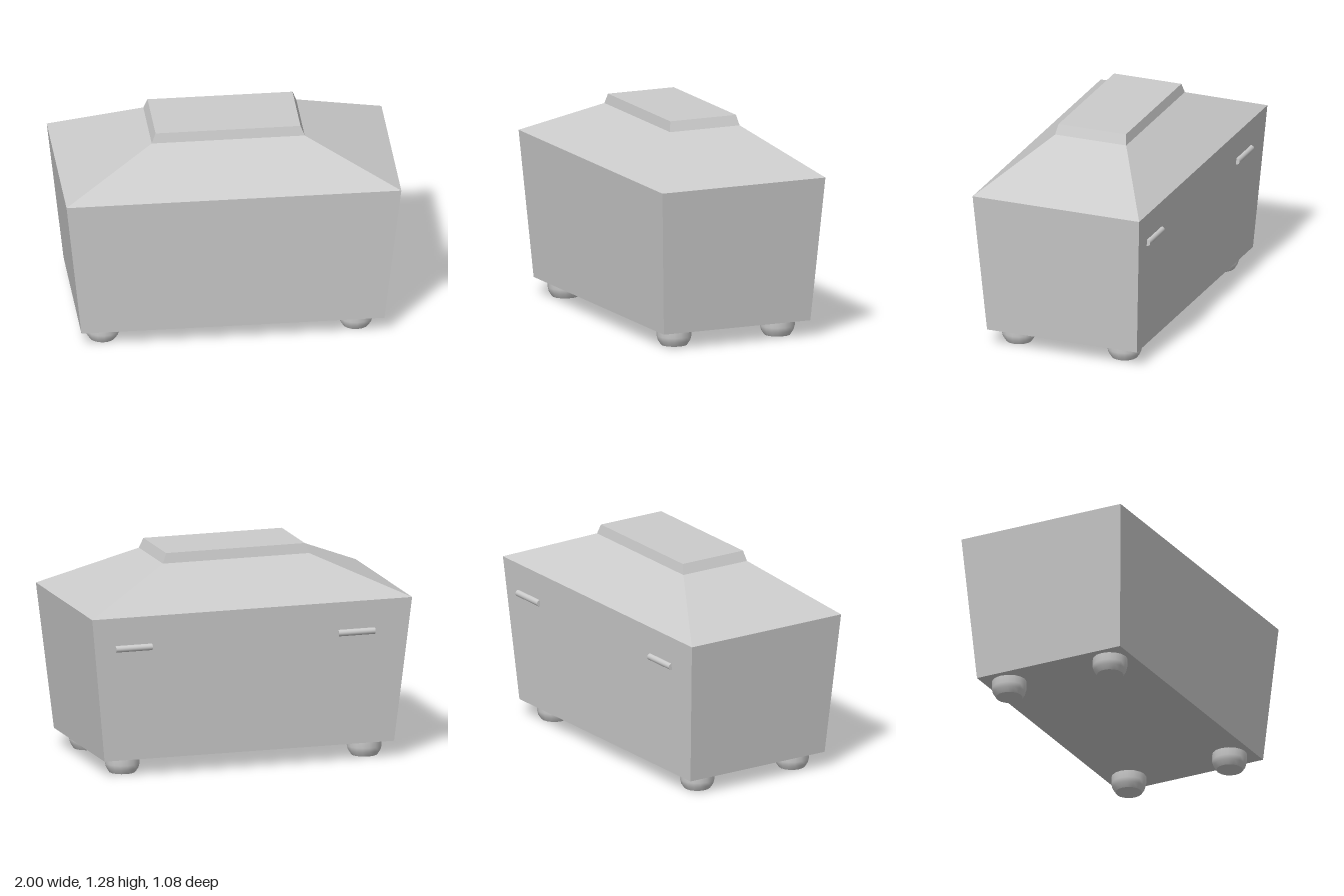
import * as THREE from 'three';

const material = new THREE.MeshStandardMaterial({ color: 0xcccccc });
const CENTER_Z = 0.005;

function add(parent, name, geometry, x, y, z) {
  const mesh = new THREE.Mesh(geometry, material);
  mesh.name = name;
  mesh.position.set(x, y, z);
  parent.add(mesh);
  return mesh;
}

// Box whose top and bottom rectangles differ; sizes are half extents [x, z]
function taperedBox(bottom, top, y0, y1) {
  const geometry = new THREE.BoxGeometry(2, 1, 2);
  const p = geometry.attributes.position;
  for (let i = 0; i < p.count; i++) {
    const upper = p.getY(i) > 0;
    const [hx, hz] = upper ? top : bottom;
    p.setXYZ(i, p.getX(i) * hx, upper ? y1 : y0, p.getZ(i) * hz);
  }
  geometry.computeVertexNormals();
  return geometry;
}

export function createModel() {
  const group = new THREE.Group();
  group.name = 'chest';

  // Flared body, sloping lid and raised panel on top
  add(group, 'body', taperedBox([0.905, 0.481], [1, 0.535], 0.1, 0.98), 0, 0, CENTER_Z);
  add(group, 'lid', taperedBox([1, 0.535], [0.457, 0.228], 0.98, 1.22), 0, 0, CENTER_Z);
  add(group, 'lidPanel', taperedBox([0.457, 0.228], [0.433, 0.216], 1.22, 1.28), 0, 0, CENTER_Z);

  // Rounded feet with a flat sole
  const profile = [[0.104, 0.1], [0.104, 0.055], [0.097, 0.028], [0.079, 0]];
  const side = new THREE.LatheGeometry(
    profile.map(([r, y]) => new THREE.Vector2(r, y)).reverse(), 16);
  const sole = new THREE.CircleGeometry(0.079, 16).rotateX(Math.PI / 2);
  for (const x of [-0.765, 0.748]) {
    for (const z of [-0.333, 0.345]) {
      const foot = new THREE.Group();
      foot.name = 'foot';
      foot.position.set(x, 0, z);
      add(foot, 'footSide', side, 0, 0, 0);
      add(foot, 'footSole', sole, 0, 0, 0);
      group.add(foot);
    }
  }

  // Hinge barrels on the back
  const barrel = new THREE.CylinderGeometry(0.02, 0.02, 0.228, 16).rotateZ(Math.PI / 2);
  for (const x of [-0.655, 0.738]) add(group, 'hinge', barrel, x, 0.79, -0.52);

  return group;
}
